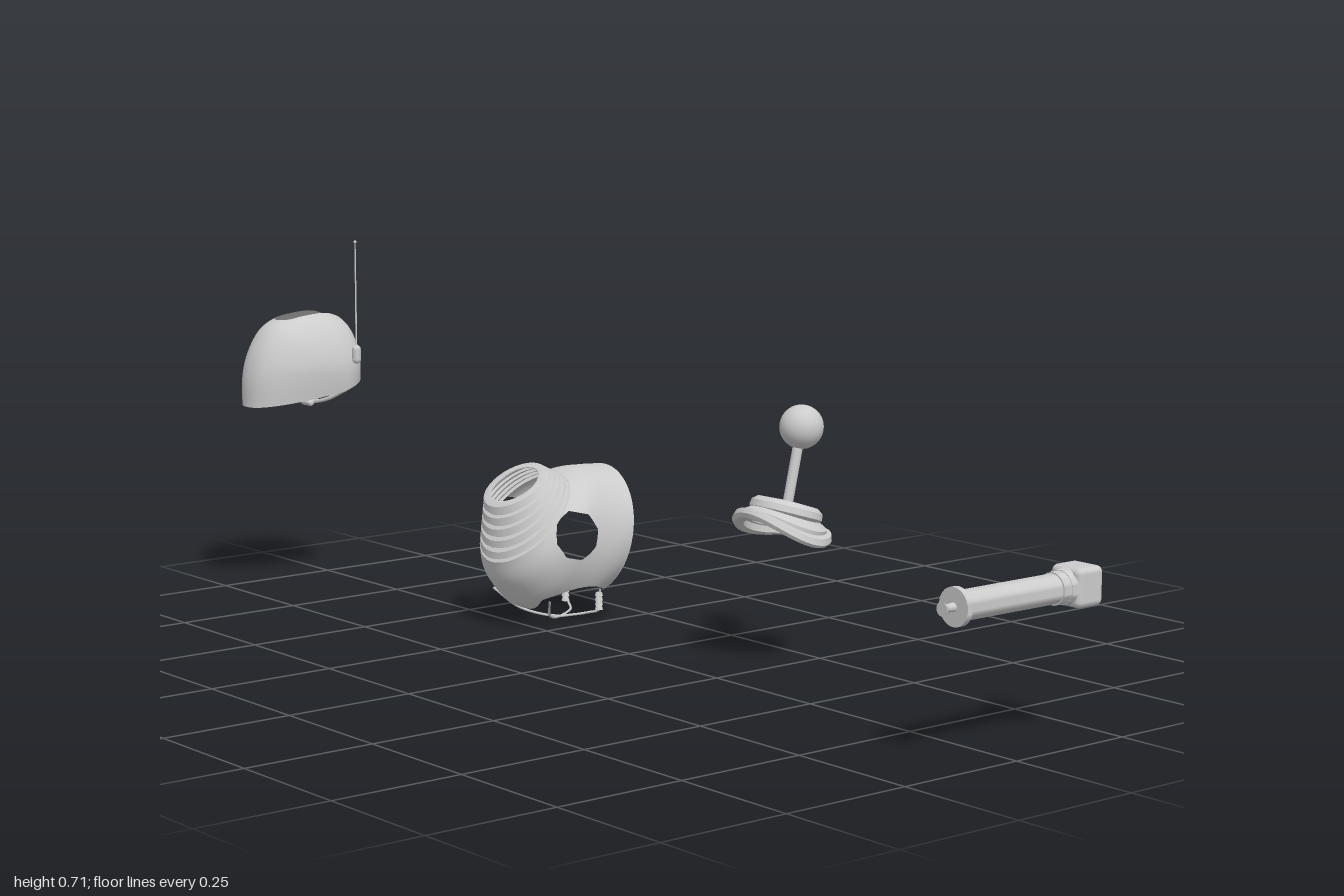
import * as THREE from 'three';
import { mergeVertices, toCreasedNormals } from 'three/addons/utils/BufferGeometryUtils.js';
import { RoundedBoxGeometry } from 'three/addons/geometries/RoundedBoxGeometry.js';

const grey = new THREE.MeshStandardMaterial({ color: 0xcccccc });
const thin = new THREE.MeshStandardMaterial({ color: 0xcccccc, side: THREE.DoubleSide });
const V = (x, y, z) => new THREE.Vector3(x, y, z);

function add(parent, name, geo, mat = grey) {
  const mesh = new THREE.Mesh(geo, mat);
  mesh.name = name;
  parent.add(mesh);
  return mesh;
}

function section(root, name, x, y = 0, z = 0) {
  const g = new THREE.Group();
  g.name = name;
  g.position.set(x, y, z);
  root.add(g);
  return g;
}

// Cylinder or cone between two points
function rod(parent, name, a, b, ra, rb = ra, sides = 20) {
  const d = b.clone().sub(a);
  const m = add(parent, name, toCreasedNormals(new THREE.CylinderGeometry(rb, ra, d.length(), sides), 0.7));
  m.position.copy(a).add(b).multiplyScalar(0.5);
  m.quaternion.setFromUnitVectors(V(0, 1, 0), d.normalize());
  return m;
}

const strap = (parent, name, pts, r) =>
  add(parent, name, new THREE.TubeGeometry(new THREE.CatmullRomCurve3(pts), 24, r, 6), thin);

// Surface over a grid, trimmed where keep(point) is negative
function sheet(nu, nv, point, keep = () => 1) {
  const out = [];
  const emit = (tri) => {
    const poly = [];
    tri.forEach((a, i) => {
      const b = tri[(i + 1) % 3], fa = keep(a), fb = keep(b);
      if (fa >= 0) poly.push(a);
      if (fa >= 0 !== fb >= 0) poly.push(a.clone().lerp(b, fa / (fa - fb)));
    });
    for (let i = 1; i + 1 < poly.length; i++)
      for (const p of [poly[0], poly[i], poly[i + 1]]) out.push(p.x, p.y, p.z);
  };
  for (let i = 0; i < nu; i++) for (let j = 0; j < nv; j++) {
    const a = point(i / nu, j / nv), b = point((i + 1) / nu, j / nv);
    const c = point((i + 1) / nu, (j + 1) / nv), d = point(i / nu, (j + 1) / nv);
    emit([a, b, c]);
    emit([a, c, d]);
  }
  let geo = new THREE.BufferGeometry();
  geo.setAttribute('position', new THREE.Float32BufferAttribute(out, 3));
  geo = mergeVertices(geo, 1e-5);
  geo.computeVertexNormals();
  return geo;
}

function buildHelmet(root) {
  const g = section(root, 'helmet', -0.905);
  // Side outline as [z, y], front rim over the crown to the back rim
  const outline = new THREE.CatmullRomCurve3([
    [0.25, 0.382], [0.247, 0.44], [0.231, 0.493], [0.2, 0.538], [0.163, 0.557], [0.12, 0.564],
    [0.075, 0.565], [0.05, 0.557], [0.031, 0.544], [0.016, 0.52], [0.005, 0.478], [0.003, 0.43],
  ].map(([z, y]) => V(0, y, z)));
  const hub = V(0, 0.408, 0.075), e = 2 / 2.2;
  const dome = sheet(28, 40, (u, v) => {
    const c = Math.cos(Math.PI * u), s = u === 0 || u === 1 ? 0 : Math.sin(Math.PI * u) ** e;
    const p = hub.clone().lerp(outline.getPoint(v), s);
    p.x = -0.098 * Math.sign(c) * Math.abs(c) ** e * (1 - 0.12 * Math.max(0, (0.46 - p.y) / 0.08));
    return p;
  }, (p) => p.y < 0.5 ? 1 : Math.hypot(p.x, p.z - THREE.MathUtils.clamp(p.z, 0.06, 0.15)) - 0.027);
  add(g, 'slottedDome', dome, thin);

  // Chin strap and cup
  strap(g, 'helmetChinStrap', [V(-0.088, 0.412, 0.07), V(-0.05, 0.39, 0.09), V(0, 0.38, 0.1),
    V(0.05, 0.39, 0.09), V(0.088, 0.412, 0.07)], 0.004);
  const cup = add(g, 'chinCup', new RoundedBoxGeometry(0.036, 0.012, 0.03, 2, 0.005));
  cup.position.set(0, 0.384, 0.1);
  cup.rotation.x = 0.7;

  // Antenna on the left side
  add(g, 'antennaBase', new THREE.CapsuleGeometry(0.009, 0.02, 4, 12)).position.set(0.093, 0.481, 0.048);
  rod(g, 'antennaMast', V(0.093, 0.49, 0.048), V(0.093, 0.708, 0.048), 0.0018, 0.0014, 8);
  add(g, 'antennaTip', new THREE.SphereGeometry(0.0035, 10, 8)).position.set(0.093, 0.707, 0.048);
}

function buildHood(root) {
  const g = section(root, 'hood', -0.331);
  const top = new THREE.CatmullRomCurve3([V(0, 0.29, -0.088), V(0, 0.298, -0.12), V(0, 0.298, -0.16), V(0, 0.295, -0.205)]);
  const bottom = new THREE.CatmullRomCurve3([[0.069, 0.133], [0.058, 0.097], [0.037, 0.067], [0.012, 0.042],
    [-0.03, 0.027], [-0.09, 0.022], [-0.157, 0.045]].map(([z, y]) => V(0, y, z)));
  // Loop through a top and a bottom point, with half width w
  const loop = (a, b, w, scale, v) => {
    const t = v === 1 ? 0 : 2 * Math.PI * v, mid = a.clone().add(b).multiplyScalar(0.5);
    const p = mid.addScaledVector(a.clone().sub(b), 0.5 * scale * Math.cos(t));
    p.x = w * scale * Math.sin(t);
    return p;
  };
  // Ear holes are octagons; the lower edge is cut away in an arch
  const keep = (p) => {
    let ear = -1;
    for (let k = 0; k < 8; k++) {
      const a = (k + 0.3) * Math.PI / 4;
      ear = Math.max(ear, (p.z + 0.047) * Math.cos(a) + (p.y - 0.187) * Math.sin(a) - 0.044);
    }
    const arch = 0.081 - 0.023 * ((p.z + 0.077) / 0.08) ** 2;
    return Math.min(ear, Math.max(p.y - arch, p.z - 0.46 * (p.y - 0.057)));
  };
  add(g, 'hoodShell', sheet(40, 56, (u, v) => {
    const w = 0.1 + 0.025 * Math.sin(Math.PI / 2 * Math.min(1, u * 2.4)) - 0.007 * Math.max(0, u - 0.5) * 2;
    return loop(top.getPoint(u), bottom.getPoint(u), w, 1, v);
  }, keep), thin);

  // Fanned bellows, rows as [position, scale] from the open rim down to the shell
  const rows = [[0.03, 0.76], [0, 0.78]];
  for (let i = 0; i < 5; i++) {
    const t = i / 5;
    rows.push([t, i ? 0.92 : 0.95], [t + 0.02, 1], [t + 0.14, 1], [t + 0.17, 0.92]);
  }
  rows.push([1, 1]);
  const n = rows.length - 1;
  const bellows = sheet(n, 32, (u, v) => {
    const [t, s] = rows[Math.round(u * n)];
    const back = V(0, 0.314, -0.039).lerp(V(0, 0.29, -0.088), t);
    const front = V(0, 0.243, 0.069).lerp(V(0, 0.133, 0.069), t);
    return loop(back, front, 0.067 + 0.034 * t, s, v);
  });
  add(g, 'bellows', toCreasedNormals(bellows, 0.5), thin);

  // Straps below the hood, with ribbed buckles at the back
  for (const s of [-1, 1]) {
    strap(g, 'frontStrap', [V(s * 0.09, 0.06, 0), V(s * 0.05, 0.025, -0.03), V(s * 0.02, 0.01, -0.065), V(0, 0.005, -0.095)], 0.0025);
    strap(g, 'rearStrap', [V(s * 0.055, 0.06, -0.15), V(s * 0.05, 0.02, -0.153), V(s * 0.025, 0.01, -0.14), V(0, 0.005, -0.095)], 0.0025);
    for (let k = 0; k < 4; k++)
      rod(g, 'buckleRib', V(s * 0.053, 0.02 + k * 0.009, -0.149), V(s * 0.053, 0.027 + k * 0.009, -0.149), 0.008, 0.006, 10);
  }
}

function buildBallMount(root) {
  const g = section(root, 'ballMount', 0.246, 0, 0);
  add(g, 'ball', new THREE.SphereGeometry(0.0405, 28, 20)).position.set(0, 0.439, -0.203);
  rod(g, 'stem', V(0, 0.285, -0.167), V(0, 0.415, -0.197), 0.0095);

  // Tilted base of stacked plates
  const base = section(g, 'saddleBase', 0, 0.275, -0.163);
  base.rotation.x = -0.3;
  const lathe = (name, pts, drop) => {
    const geo = new THREE.LatheGeometry(pts.map(([r, y]) => new THREE.Vector2(r, y)), 36);
    const p = geo.attributes.position;
    for (let i = 0; i < p.count; i++) p.setY(i, p.getY(i) - drop * p.getX(i) ** 2);
    return add(base, name, toCreasedNormals(geo, 0.6), thin);
  };
  lathe('topPlate', [[0.06, 0.002], [0.068, 0.01], [0.066, 0.022], [0.056, 0.03], [0, 0.033]], 0);
  lathe('middleRing', [[0.06, -0.012], [0.08, -0.01], [0.081, 0.002], [0.062, 0.012]], 2);
  lathe('saddleFlange', [[0.07, -0.018], [0.088, -0.016], [0.093, -0.008], [0.09, 0.002], [0.07, 0.003], [0.07, -0.018]], 3.2);
}

function buildNozzle(root) {
  const g = section(root, 'tubeTool', 0.966, 0.268, 0);
  const along = (name, z0, z1, r0, r1, sides = 28) => rod(g, name, V(0, 0, z0), V(0, 0, z1), r0, r1, sides);
  along('barrel', -0.12, 0.108, 0.0255);
  along('frontFlange', 0.105, 0.116, 0.033);
  along('nozzleNeck', 0.114, 0.131, 0.008, 0.0065);
  along('nozzleTip', 0.131, 0.142, 0.0065, 0.012);
  along('collar', -0.134, -0.11, 0.028);
  along('blockTaper', -0.15, -0.128, 0.034, 0.029);
  add(g, 'endBlock', new RoundedBoxGeometry(0.068, 0.068, 0.06, 2, 0.011)).position.z = -0.168;
  // Side knob
  rod(g, 'sideKnobStem', V(-0.03, 0, -0.17), V(-0.045, 0, -0.17), 0.012);
  rod(g, 'sideKnob', V(-0.043, 0, -0.17), V(-0.054, 0, -0.17), 0.016);
}

export function createModel() {
  const root = new THREE.Group();
  root.name = 'equipmentSet';
  buildHelmet(root);
  buildHood(root);
  buildBallMount(root);
  buildNozzle(root);
  return root;
}
